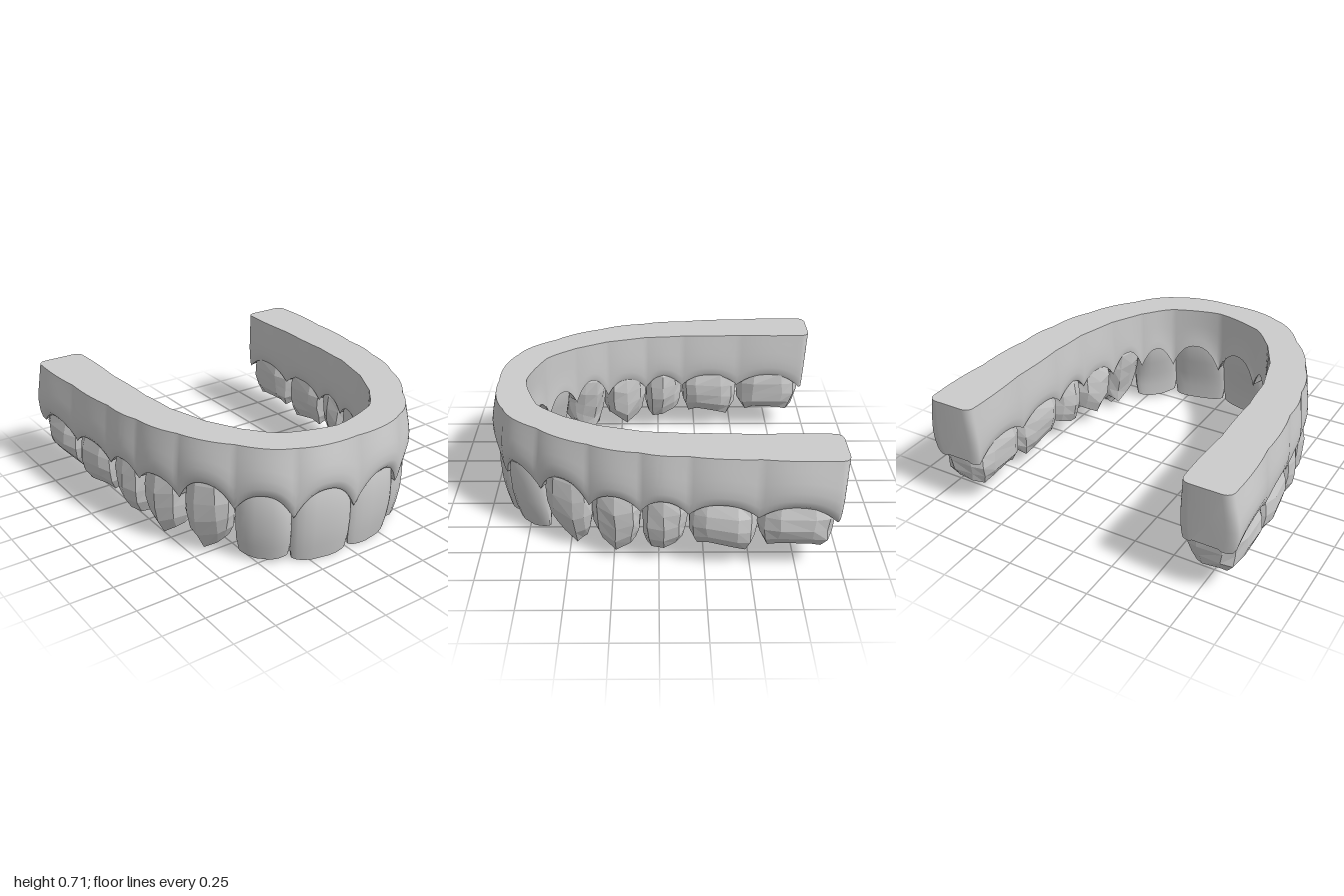
import * as THREE from 'three';
import { toCreasedNormals } from 'three/addons/utils/BufferGeometryUtils.js';

// Arch outline at the borders between teeth, from the midline back: [x, z]
const OUTER = [[0, 0.945], [0.36, 0.878], [0.59, 0.66], [0.76, 0.38], [0.85, 0.1], [0.89, -0.16], [0.922, -0.53], [0.94, -0.945]];
const INNER = [[0, 0.785], [0.3, 0.695], [0.45, 0.53], [0.555, 0.33], [0.625, 0.08], [0.647, -0.16], [0.658, -0.53], [0.655, -0.945]];
const PAPILLA = [0.29, 0.3, 0.33, 0.33, 0.35, 0.355, 0.355, 0.34]; // gum height between teeth
const BULGE = [0.75, 0.75, 0.8, 0.55, 0.4, 0.5, 0.6, 1.1]; // outward swell of the outer gum wall
const INNER_BULGE = [-0.3, -0.2, 0, 0.2, 0.4, 0.4, 0.4, 0.4];
const TOP = 0.715;

// Tooth rules, from the midline back. Levels run from the neck to the biting edge:
// width (share of the space), outer and inner limits across the arch (-1 inner, 1 outer).
const FRONT = {
  n: 20, e: 0.65, w: [0.84, 0.98, 1.04, 1.04, 1.02, 0.94],
  vo: [0.75, 1.0, 1.05, 0.98, 0.8, 0.55], vi: [-0.8, -0.75, -0.45, -0.1, 0.1, 0.15], pit: 0,
};
const CANINE = {
  n: 12, e: 0.75, w: [0.8, 0.95, 1.03, 0.99, 0.92, 0.7],
  vo: [0.8, 1.0, 1.1, 1.05, 0.85, 0.4], vi: [-0.8, -0.9, -0.8, -0.5, -0.25, -0.1], pit: 0,
};
const PREMOLAR = {
  n: 10, e: 0.7, w: [0.8, 0.95, 1.02, 1.0, 0.95, 0.82],
  vo: [0.85, 1.0, 1.1, 1.1, 0.98, 0.65], vi: [-0.85, -1.0, -1.1, -1.08, -0.95, -0.65], pit: 0.07,
};
const MOLAR = {
  n: 12, e: 0.6, w: [0.82, 0.95, 1.01, 1.0, 0.96, 0.84],
  vo: [0.9, 1.0, 1.15, 1.18, 1.05, 0.72], vi: [-0.9, -1.0, -1.08, -1.08, -0.98, -0.7], pit: 0.05,
};
const LEVELS = [0, 0.18, 0.4, 0.62, 0.82, 1];
const TEETH = [
  { name: 'centralIncisor', kind: FRONT, apex: 0.455, y: 0.005, cusp: (a, u) => 0.016 * u ** 4 },
  { name: 'lateralIncisor', kind: FRONT, apex: 0.44, y: 0.022, cusp: (a, u) => 0.025 * u * u },
  { name: 'canine', kind: CANINE, apex: 0.465, y: 0.012, cusp: (a, u, v) => 0.09 * Math.abs(u - 0.3) + (v < 0 ? 0.04 : 0) },
  { name: 'firstPremolar', kind: PREMOLAR, apex: 0.43, y: 0.05, cusp: (a, u, v) => 0.08 * Math.abs(u) + (v < 0 ? 0.04 : 0) },
  { name: 'secondPremolar', kind: PREMOLAR, apex: 0.435, y: 0.085, cusp: (a, u, v) => 0.05 * Math.abs(u + 0.45) + (v < 0 ? 0.02 : 0) },
  { name: 'firstMolar', kind: MOLAR, apex: 0.435, y: 0.115, cusp: (a, u) => 0.05 * (1 - Math.abs(Math.sin(2 * a))) + (u < 0 ? 0.03 : 0) },
  { name: 'secondMolar', kind: MOLAR, apex: 0.435, y: 0.15, cusp: (a) => 0.05 * (1 - Math.abs(Math.sin(2 * a))) },
];

const spline = (half) => new THREE.CatmullRomCurve3([
  ...half.slice(1).reverse().map(([x, z]) => new THREE.Vector3(-x, 0, z)),
  ...half.map(([x, z]) => new THREE.Vector3(x, 0, z)),
], false, 'catmullrom', 0.5);
const outerCurve = spline(OUTER), innerCurve = spline(INNER);

// Tooth number and share of its width for an arch position
function locate(s) {
  const a = Math.min(Math.abs(s), 7), k = Math.min(Math.floor(a), 6);
  return [k, a - k];
}

// Value between two tooth borders
function between(list, s) {
  const [k, f] = locate(s);
  return THREE.MathUtils.lerp(list[k], list[k + 1], f);
}

// 0 at the borders of a tooth, 1 at its middle
const swell = (s) => 1 - (2 * locate(s)[1] - 1) ** 2;

// Point on the arch: s counts teeth from the midline, v goes across, d is an extra outward distance.
// Past the last tooth the arch runs straight back, less so lower down.
function archPoint(s, v, d, y) {
  const c = THREE.MathUtils.clamp(s, -7, 7), t = (c + 7) / 14;
  const o = outerCurve.getPoint(t), i = innerCurve.getPoint(t);
  const p = i.clone().lerp(o, (v + 1) / 2);
  p.addScaledVector(o.sub(i).normalize(), d);
  p.y = y;
  p.z -= (Math.abs(s) - Math.abs(c)) * 0.3 * y / TOP;
  return p;
}

// Closed loft through rings with a fan on each end; faces are turned outward
function loft(rings, startTip, endTip) {
  const n = rings[0].length, pts = [...rings.flat(), startTip, endTip], tris = [];
  const a = pts.length - 2, b = pts.length - 1, last = (rings.length - 1) * n;
  for (let j = 0; j < n; j++) {
    const k = (j + 1) % n;
    for (let r = 0; r < rings.length - 1; r++) {
      const q = r * n;
      tris.push([q + j, q + k, q + n + j], [q + k, q + n + k, q + n + j]);
    }
    tris.push([a, k, j], [b, last + j, last + k]);
  }
  let volume = 0;
  const cross = new THREE.Vector3();
  for (const [i, j, k] of tris) volume += pts[i].dot(cross.crossVectors(pts[j], pts[k]));
  if (volume < 0) tris.forEach((t) => t.reverse());
  const g = new THREE.BufferGeometry().setFromPoints(pts);
  g.setIndex(tris.flat());
  return g;
}

const average = (ring) => ring.reduce((m, p) => m.add(p), new THREE.Vector3()).divideScalar(ring.length);

function gumMargin(s) {
  const [k, f] = locate(s), base = between(PAPILLA, s);
  return base + (TEETH[k].apex - base) * (1 - Math.pow(Math.abs(2 * f - 1), 2.3));
}

// Cross-section of the gum: [height share above margin, outward swell, extra swell over roots]
const WALL = [[1, 0, 0.01], [0.8, 0.012, 0.012], [0.58, 0.026, 0.014], [0.38, 0.034, 0.016],
  [0.2, 0.03, 0.019], [0.07, 0.018, 0.02], [0, 0.002, 0.016], [0.03, -0.03, 0]];

function gumRing(s, squeeze) {
  const m = gumMargin(s), b = swell(s);
  const wall = (side, bulge, roots) => WALL.map(([h, d, root]) =>
    archPoint(s, side * squeeze, side * (d * bulge + root * b * roots) * squeeze, m + (TOP - m) * h));
  return [...wall(1, between(BULGE, s), 1), ...wall(-1, between(INNER_BULGE, s), 0.7).reverse()];
}

function makeGum(material) {
  const rings = [], end = [];
  for (let i = 1; i <= 6; i++) {
    const q = Math.sin((i / 6) * Math.PI / 2);
    end.push([7 + 0.15 * q, 0.62 + 0.38 * Math.sqrt(Math.max(0, 1 - q * q))]);
  }
  [...end].reverse().forEach(([s, k]) => rings.push(gumRing(-s, k)));
  for (let i = -7 * 16; i <= 7 * 16; i++) rings.push(gumRing(i / 16, 1));
  end.forEach(([s, k]) => rings.push(gumRing(s, k)));
  const g = loft(rings, average(rings[0]), average(rings[rings.length - 1]));
  const gum = new THREE.Mesh(toCreasedNormals(g, 0.8), material);
  gum.name = 'gum';
  return gum;
}

function makeTooth(index, side, smooth, faceted) {
  const { name, kind, apex, y, cusp } = TEETH[index];
  let seed = 17 + index * 31;
  const jitter = (amount) => {
    seed = (seed * 16807) % 2147483647;
    return (seed / 2147483647 - 0.5) * amount;
  };
  const rough = kind === FRONT ? 0 : 0.1;
  const power = (x) => Math.sign(x) * Math.pow(Math.abs(x), kind.e);
  const neck = apex + 0.06;
  const rings = LEVELS.map((f, l) => Array.from({ length: kind.n }, (_, j) => {
    const a = ((j + 0.5) / kind.n) * Math.PI * 2;
    const cu = power(Math.cos(a)), cv = power(Math.sin(a));
    const u = cu * kind.w[l] + (l > 2 ? jitter(rough) : 0);
    const v = (kind.vo[l] + kind.vi[l]) / 2 + cv * (kind.vo[l] - kind.vi[l]) / 2 + jitter(rough);
    const edge = y + cusp(a, cu, cv);
    return archPoint(side * (index + 0.5 + u / 2), v, 0.016 * (1 - Math.min(1, u * u)) * cv,
      neck + (edge - neck) * f);
  }));
  const tip = average(rings[rings.length - 1]);
  tip.y += kind.pit;
  const g = loft(rings, average(rings[0]), tip);
  const mesh = kind === FRONT
    ? new THREE.Mesh(toCreasedNormals(g, 0.6), smooth)
    : new THREE.Mesh(g.toNonIndexed(), faceted);
  mesh.geometry.computeVertexNormals();
  if (kind === FRONT) mesh.geometry = toCreasedNormals(g, 0.6);
  mesh.name = (side > 0 ? 'left ' : 'right ') + name;
  return mesh;
}

export function createModel() {
  const model = new THREE.Group();
  model.name = 'upperDentalArch';
  const smooth = new THREE.MeshStandardMaterial({ color: 0xcccccc });
  const faceted = new THREE.MeshStandardMaterial({ color: 0xcccccc, flatShading: true });
  model.add(makeGum(smooth));
  const teeth = new THREE.Group();
  teeth.name = 'teeth';
  for (const side of [1, -1]) {
    TEETH.forEach((_, i) => teeth.add(makeTooth(i, side, smooth, faceted)));
  }
  model.add(teeth);
  return model;
}
